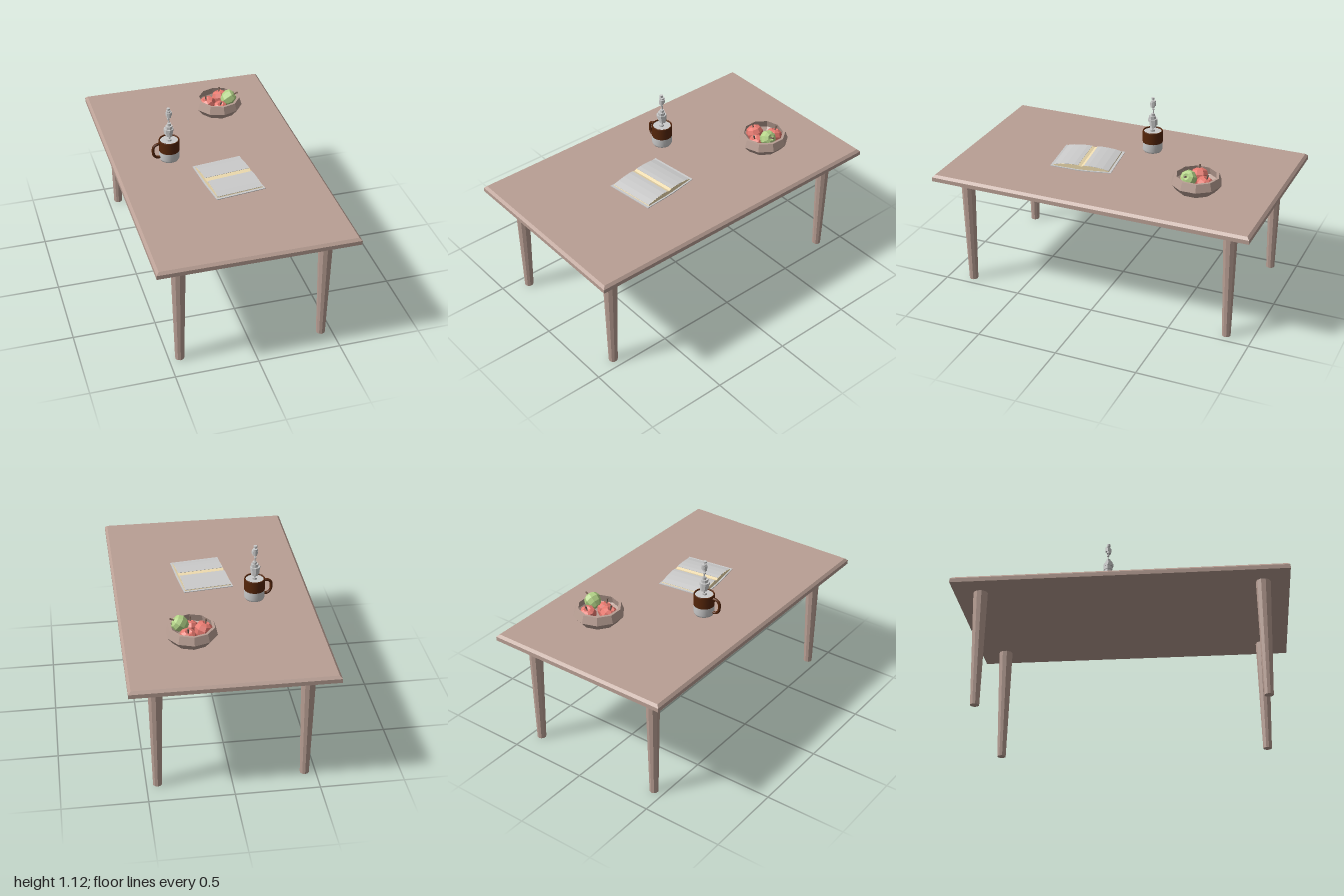
import * as THREE from 'three';

const mat = (color, flatShading = true) =>
  new THREE.MeshStandardMaterial({ color, flatShading, side: THREE.DoubleSide });
const WOOD = mat(0xb99f94), RED = mat(0xe87a70), GREEN = mat(0xb4d488), STEM = mat(0x7d6558);
const GREY = mat(0xcccccc), CREAM = mat(0xf0ddb0);
const GLAZE = mat(0x552509, false), CERAMIC = mat(0xcccccc, false);

function add(parent, name, geometry, material, x = 0, y = 0, z = 0) {
  const mesh = new THREE.Mesh(geometry, material);
  mesh.name = name;
  mesh.position.set(x, y, z);
  parent.add(mesh);
  return mesh;
}

function subgroup(parent, name, x, y, z) {
  const g = new THREE.Group();
  g.name = name;
  g.position.set(x, y, z);
  parent.add(g);
  return g;
}

const lathe = (points, sides) =>
  new THREE.LatheGeometry(points.map(([r, y]) => new THREE.Vector2(r, y)), sides);

// Table: slab with a bevelled upper edge on four tapered legs
function buildTable(root) {
  const table = subgroup(root, 'table', 0, 0, 0);
  const slab = new THREE.BoxGeometry(1.186, 0.04, 2, 1, 2, 1);
  const p = slab.attributes.position;
  for (let i = 0; i < p.count; i++) {
    if (p.getY(i) > 0.01) {
      p.setX(i, p.getX(i) - Math.sign(p.getX(i)) * 0.015);
      p.setZ(i, p.getZ(i) - Math.sign(p.getZ(i)) * 0.015);
    } else if (p.getY(i) > -0.01) p.setY(i, 0.005);
  }
  slab.computeVertexNormals();
  add(table, 'tabletop', slab, WOOD, 0, 0.742, 0);
  for (const sx of [-1, 1])
    for (const sz of [-1, 1])
      add(table, 'leg', new THREE.CylinderGeometry(0.044, 0.027, 0.723, 10), WOOD,
        sx * 0.435, 0.3615, sz * 0.843);
}

// Mug: pale lower body, glazed upper band, handle, drink and steam
function buildMug(root) {
  const mug = subgroup(root, 'mug', -0.245, 0.762, -0.095);
  add(mug, 'mugBase', lathe([[0, 0.002], [0.046, 0.002], [0.056, 0.007], [0.062, 0.02], [0.062, 0.068]], 28), CERAMIC);
  add(mug, 'mugBand', lathe([[0.062, 0.068], [0.063, 0.07], [0.063, 0.14], [0.061, 0.144]], 28), GLAZE);
  add(mug, 'mugRim', lathe([[0.061, 0.144], [0.057, 0.144], [0.055, 0.14], [0.055, 0.12]], 28), GLAZE);
  const drink = add(mug, 'drink', new THREE.CircleGeometry(0.056, 28), GREY, 0, 0.136, 0);
  drink.rotation.x = -Math.PI / 2;

  const path = new THREE.CatmullRomCurve3([
    [-0.056, 0.122], [-0.08, 0.122], [-0.1, 0.107], [-0.104, 0.078],
    [-0.098, 0.05], [-0.08, 0.033], [-0.056, 0.032],
  ].map(([x, y]) => new THREE.Vector3(x, y, 0)));
  const handle = add(mug, 'handle', new THREE.TubeGeometry(path, 24, 0.009, 8), GLAZE);
  handle.rotation.y = 0.1;

  // Steam: stacked thin rings, each [radius, bottom, top]
  const steam = subgroup(mug, 'steam', 0, 0, 0);
  const rings = [
    [0.016, 0.137, 0.148], [0.006, 0.148, 0.168], [0.023, 0.168, 0.182], [0.027, 0.182, 0.205], [0.031, 0.205, 0.221],
    [0.022, 0.221, 0.24], [0.013, 0.24, 0.256], [0.004, 0.256, 0.279],
    [0.008, 0.279, 0.288], [0.003, 0.288, 0.298], [0.014, 0.298, 0.311],
    [0.019, 0.311, 0.332], [0.015, 0.332, 0.342], [0.005, 0.342, 0.349], [0.011, 0.349, 0.361],
  ];
  rings.forEach(([r, a, b], i) =>
    add(steam, 'steamRing', new THREE.CylinderGeometry(r, r, b - a, 8), GREY,
      0.002 * Math.sin(i * 1.3), (a + b) / 2, 0.003 * Math.cos(i * 1.3)));
}

// Fruit: faceted ball with dimpled poles and a stem, tilted as a whole
function buildFruit(parent, name, material, r, pos, tiltX, tiltZ) {
  const fruit = subgroup(parent, name, ...pos);
  fruit.rotation.set(tiltX, 0, tiltZ);
  const profile = [[0, -0.78], [0.5, -0.88], [0.86, -0.4], [1, 0.2], [0.82, 0.7], [0.4, 0.92], [0, 0.72]];
  add(fruit, 'fruitBody', lathe(profile.map(([a, b]) => [a * r, b * r]), 8), material);
  const stem = add(fruit, 'stem', new THREE.CylinderGeometry(0.006, 0.004, 0.034, 5), STEM, 0.003, r * 0.72 + 0.016, 0);
  stem.rotation.z = -0.2;
}

// Bowl: faceted, with thick inward-turned rim
function buildBowl(root) {
  const bowl = subgroup(root, 'fruitBowl', 0.192, 0.762, -0.545);
  add(bowl, 'bowl', lathe([
    [0, 0.002], [0.068, 0.002], [0.115, 0.027], [0.153, 0.073], [0.137, 0.121],
    [0.121, 0.121], [0.134, 0.073], [0.1, 0.036], [0.06, 0.018], [0, 0.018],
  ], 10), WOOD);
  buildFruit(bowl, 'redFruitBack', RED, 0.052, [0.03, 0.078, -0.06], -0.3, 0.1);
  buildFruit(bowl, 'redFruitSide', RED, 0.054, [-0.068, 0.078, 0.006], 0.1, 0.35);
  buildFruit(bowl, 'redFruitFront', RED, 0.047, [0.0, 0.068, 0.055], 0.4, 0.1);
  buildFruit(bowl, 'greenFruit', GREEN, 0.05, [0.062, 0.12, 0.025], 0.2, -0.95);
}

// Open book: profiles across the spine, extruded along it
function buildBook(root) {
  const book = subgroup(root, 'openBook', 0.04, 0.762, 0.218);
  book.rotation.y = 0.12;
  const slice = (name, pts, length, material) => {
    const shape = new THREE.Shape(pts.map(([z, y]) => new THREE.Vector2(z, y)));
    const geo = new THREE.ExtrudeGeometry(shape, { depth: length, bevelEnabled: false });
    geo.translate(0, 0, -length / 2).rotateY(Math.PI / 2);
    add(book, name, geo, material);
  };
  slice('cover', [[-0.192, 0.011], [-0.03, 0.002], [0.03, 0.002], [0.192, 0.011],
    [0.192, 0.015], [0.03, 0.007], [-0.03, 0.007], [-0.192, 0.015]], 0.31, GREY);
  for (const s of [-1, 1]) {
    const top = [[0.174, 0.019], [0.135, 0.028], [0.09, 0.033], [0.045, 0.035], [0.018, 0.033]];
    const m = pts => pts.map(([z, y]) => [s * z, y]);
    slice('pageBlock', m([[0, 0.007], [0.03, 0.007], [0.176, 0.014], ...top, [0, 0.027]]), 0.29, CREAM);
    // Thin upper sheet following the arch
    slice('topPage', m([...top, ...top.map(([z, y]) => [z, y + 0.0015]).reverse()]), 0.288, GREY);
  }
}

export function createModel() {
  const model = new THREE.Group();
  model.name = 'tableWithBreakfast';
  buildTable(model);
  buildMug(model);
  buildBowl(model);
  buildBook(model);
  return model;
}
